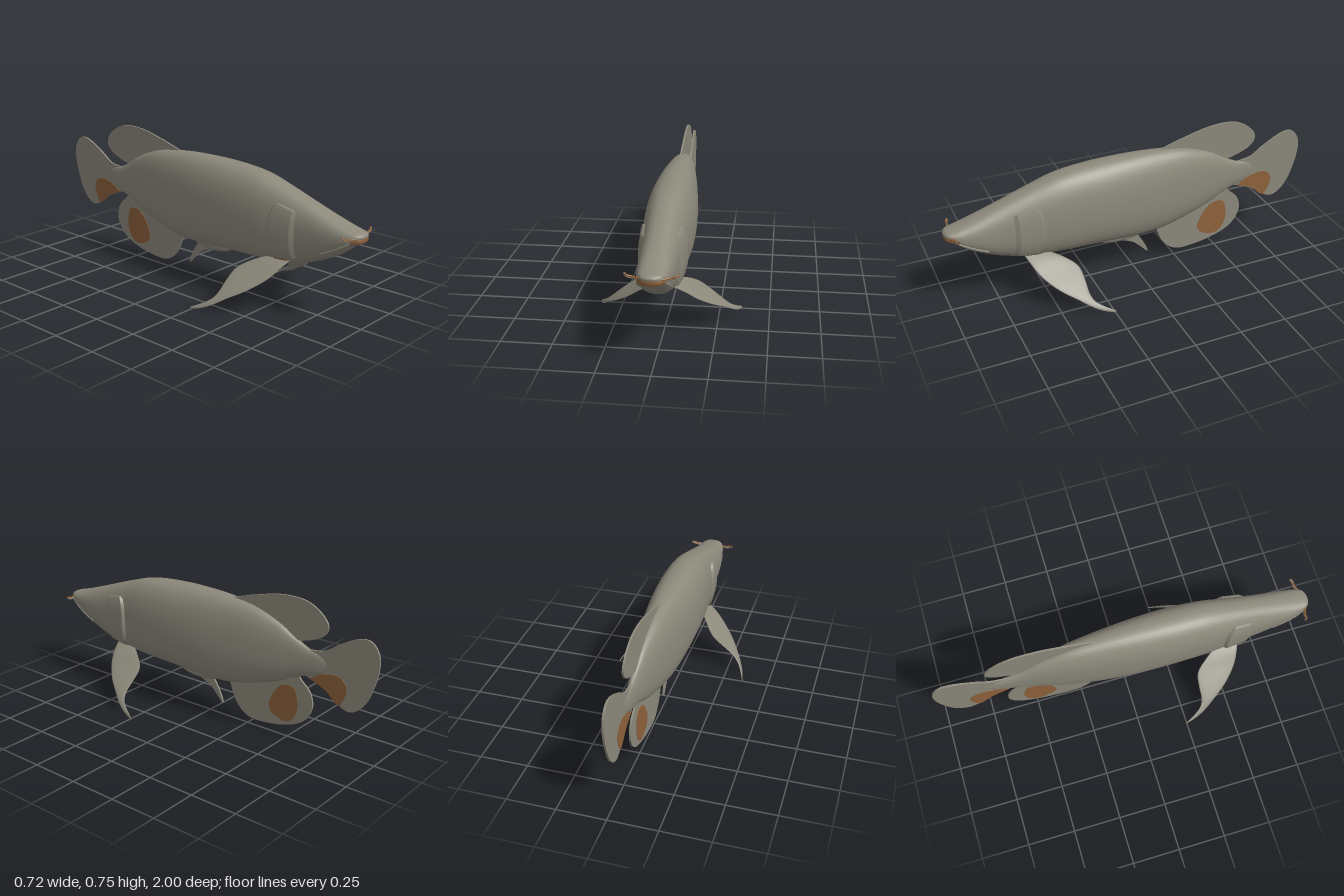
import * as THREE from 'three';
import { ParametricGeometry } from 'three/addons/geometries/ParametricGeometry.js';

const skin = new THREE.MeshStandardMaterial({ color: 0x8c897b, side: THREE.DoubleSide });
skin.name = 'olive grey skin';
const rust = new THREE.MeshStandardMaterial({ color: 0x8e623c, side: THREE.DoubleSide });
rust.name = 'rust orange';

// Body stations from tail to nose: z, top, bottom, half width
const stations = [
  [-0.73, 0.45, 0.43, 0.002], [-0.68, 0.485, 0.385, 0.011], [-0.61, 0.505, 0.362, 0.02],
  [-0.54, 0.54, 0.34, 0.03], [-0.45, 0.595, 0.295, 0.047], [-0.3, 0.65, 0.245, 0.074],
  [-0.14, 0.672, 0.208, 0.095], [0.02, 0.68, 0.205, 0.111], [0.22, 0.677, 0.215, 0.12],
  [0.41, 0.657, 0.222, 0.115], [0.57, 0.61, 0.233, 0.1], [0.7, 0.565, 0.265, 0.09],
  [0.8, 0.53, 0.305, 0.084], [0.89, 0.5, 0.355, 0.076], [0.95, 0.482, 0.405, 0.064],
  [0.985, 0.472, 0.437, 0.045], [0.998, 0.462, 0.45, 0.02], [1, 0.457, 0.455, 0.001],
];

// Smooth interpolation through the stations
function profile(z) {
  let i = 0;
  while (i < stations.length - 2 && stations[i + 1][0] < z) i++;
  const a = stations[i], b = stations[i + 1], d = b[0] - a[0];
  const t = THREE.MathUtils.clamp((z - a[0]) / d, 0, 1);
  const slope = (j, k) => {
    const p = stations[Math.max(j - 1, 0)], q = stations[Math.min(j + 1, stations.length - 1)];
    return (q[k] - p[k]) / (q[0] - p[0]);
  };
  return [1, 2, 3].map((k) => (2 * t ** 3 - 3 * t * t + 1) * a[k] + (t ** 3 - 2 * t * t + t) * d * slope(i, k)
    + (3 * t * t - 2 * t ** 3) * b[k] + (t ** 3 - t * t) * d * slope(i + 1, k));
}

// Point on the skin at z and angle (0 = left side, PI/2 = back), lifted by off
function skinPoint(z, angle, off, target) {
  const [top, bottom, width] = profile(z);
  const bend = (v) => Math.sign(v) * Math.abs(v) ** 0.83;
  return target.set(bend(Math.cos(angle)) * (width + off),
    (top + bottom) / 2 + bend(Math.sin(angle)) * ((top - bottom) / 2 + off), z);
}

function add(parent, name, geometry, material) {
  const mesh = new THREE.Mesh(geometry, material);
  mesh.name = name;
  parent.add(mesh);
  return mesh;
}

// Upright plate on the centre plane from a smooth outline of [z, y] points
function plate(points, thickness) {
  const [first, ...rest] = points.map(([z, y]) => new THREE.Vector2(z, y));
  const shape = new THREE.Shape();
  shape.moveTo(first.x, first.y);
  shape.splineThru(rest);
  const geometry = new THREE.ExtrudeGeometry(shape, { depth: thickness, bevelEnabled: false, curveSegments: 48 });
  return geometry.translate(0, 0, -thickness / 2).rotateY(-Math.PI / 2);
}

const tube = (points, radius) => new THREE.TubeGeometry(
  new THREE.CatmullRomCurve3(points.map((p) => new THREE.Vector3(...p))), 24, radius, 8);

export function createModel() {
  const model = new THREE.Group();
  model.name = 'fish';

  // Body, with stations packed closer at both ends
  const body = new ParametricGeometry((u, v, target) => {
    const z = 0.135 - 0.865 * Math.cos(v * Math.PI);
    skinPoint(z, u * Math.PI * 2, 0, target);
  }, 48, 72);
  add(model, 'body', body, skin);

  // Fins on the centre plane
  add(model, 'dorsalFin', plate([[-0.14, 0.665], [-0.29, 0.71], [-0.45, 0.745], [-0.58, 0.743], [-0.67, 0.7],
    [-0.715, 0.64], [-0.69, 0.585], [-0.61, 0.548], [-0.53, 0.535], [-0.4, 0.57], [-0.2, 0.64]], 0.01), skin);
  add(model, 'tailFin', plate([[-0.58, 0.5], [-0.69, 0.512], [-0.77, 0.562], [-0.88, 0.618], [-0.95, 0.618],
    [-0.993, 0.555], [-0.988, 0.45], [-0.94, 0.315], [-0.875, 0.248], [-0.81, 0.25], [-0.715, 0.315],
    [-0.58, 0.37]], 0.01), skin);
  add(model, 'analFin', plate([[-0.13, 0.225], [-0.17, 0.12], [-0.23, 0.055], [-0.31, 0.036], [-0.47, 0.058],
    [-0.59, 0.11], [-0.642, 0.19], [-0.632, 0.27], [-0.58, 0.325], [-0.52, 0.37], [-0.35, 0.37],
    [-0.2, 0.3]], 0.01), skin);
  add(model, 'pelvicFin', plate([[0.2, 0.22], [0.1, 0.188], [0.01, 0.155], [-0.04, 0.115], [-0.088, 0.067],
    [-0.07, 0.12], [-0.03, 0.185], [0.02, 0.23]], 0.01), skin);
  const keel = add(model, 'pelvicFinBase', new THREE.SphereGeometry(1, 20, 12), skin);
  keel.scale.set(0.026, 0.035, 0.13);
  keel.position.set(0, 0.21, 0.07);

  // Orange fin spots, just proud of both fin faces
  add(model, 'tailSpot', plate([[-0.625, 0.357], [-0.69, 0.393], [-0.75, 0.407], [-0.8, 0.4], [-0.833, 0.355],
    [-0.815, 0.29], [-0.785, 0.262], [-0.715, 0.317], [-0.63, 0.353]], 0.015), rust);
  add(model, 'analSpot', plate([[-0.385, 0.155], [-0.42, 0.23], [-0.475, 0.28], [-0.54, 0.272], [-0.56, 0.18],
    [-0.53, 0.105], [-0.475, 0.083], [-0.405, 0.11], [-0.386, 0.15]], 0.015), rust);

  // Mouth edge
  const lip = add(model, 'lip', tube([[-0.062, 0, 0.955], [-0.035, 0, 0.985], [0, 0, 0.993], [0.035, 0, 0.985],
    [0.062, 0, 0.955]], 0.006), rust);
  lip.scale.y = 2.6;
  lip.position.y = 0.441;

  // Pectoral fin edges in plan, [x, z]; the height follows from x
  const height = new THREE.SplineCurve([[0.04, 0.27], [0.08, 0.25], [0.15, 0.197], [0.29, 0.083], [0.36, 0.006]]
    .map((p) => new THREE.Vector2(...p)));
  const edge = (points) => new THREE.CatmullRomCurve3(points.map(([x, z]) => {
    let t = 0;
    while (t < 1 && height.getPoint(t).x < x) t += 0.005;
    return new THREE.Vector3(x, height.getPoint(Math.min(t, 1)).y, z);
  }));
  const lead = edge([[0.05, 0.62], [0.11, 0.598], [0.165, 0.568], [0.235, 0.5], [0.29, 0.42], [0.325, 0.36],
    [0.347, 0.305], [0.36, 0.25]]);
  const trail = edge([[0.055, 0.5], [0.1, 0.43], [0.155, 0.365], [0.22, 0.356], [0.275, 0.355], [0.308, 0.338],
    [0.335, 0.295], [0.356, 0.247]]);
  const pectoral = new ParametricGeometry((u, v, target) => {
    const a = u * Math.PI * 2;
    target.lerpVectors(lead.getPoint(v), trail.getPoint(v), (1 - Math.cos(a)) / 2);
    target.y -= Math.sin(a) * 0.006;
  }, 16, 32);

  // Gill cover: a raised patch with a rounded back edge
  const gill = new ParametricGeometry((u, v, target) => {
    const rounding = Math.sqrt(Math.max(0, 1 - (2 * u - 1) ** 2));
    const back = 0.58 - 0.072 * rounding;
    const rim = Math.min(1, v * 10, (1 - v) * 5, u * 14, (1 - u) * 14);
    skinPoint(back + (0.67 - back) * v, -0.9 + 1.58 * u, -0.004 + 0.016 * rim, target);
  }, 28, 20);

  // Orange patch where the pectoral fin meets the belly
  const patch = new ParametricGeometry((u, v, target) => {
    const reach = 0.015 + 0.035 * Math.sin(u * Math.PI);
    skinPoint(0.565 + reach * (2 * v - 1), -1.3 + 0.5 * u, 0.005, target);
  }, 12, 8);

  // Jaw bone running back along the mouth
  const jaw = tube([0.97, 0.92, 0.86, 0.8].map((z, i) =>
    skinPoint(z, -0.35 - 0.1 * i, 0, new THREE.Vector3()).toArray()), 0.006);

  for (const side of [1, -1]) {
    const half = new THREE.Group();
    half.name = side > 0 ? 'leftSide' : 'rightSide';
    half.scale.x = side;
    add(half, 'pectoralFin', pectoral, skin);
    add(half, 'gillCover', gill, skin);
    add(half, 'finRootPatch', patch, rust);
    add(half, 'jawBone', jaw, skin);
    add(half, 'barbel', tube([[0.03, 0.453, 0.985], [0.06, 0.45, 0.968], [0.085, 0.453, 0.957],
      [0.105, 0.457, 0.957], [0.12, 0.464, 0.948]], 0.005), rust);
    add(half, 'barbelUnderside', tube([[0.05, 0.444, 0.967], [0.085, 0.447, 0.955], [0.105, 0.451, 0.955],
      [0.119, 0.459, 0.947]], 0.005), skin);
    model.add(half);
  }
  return model;
}
